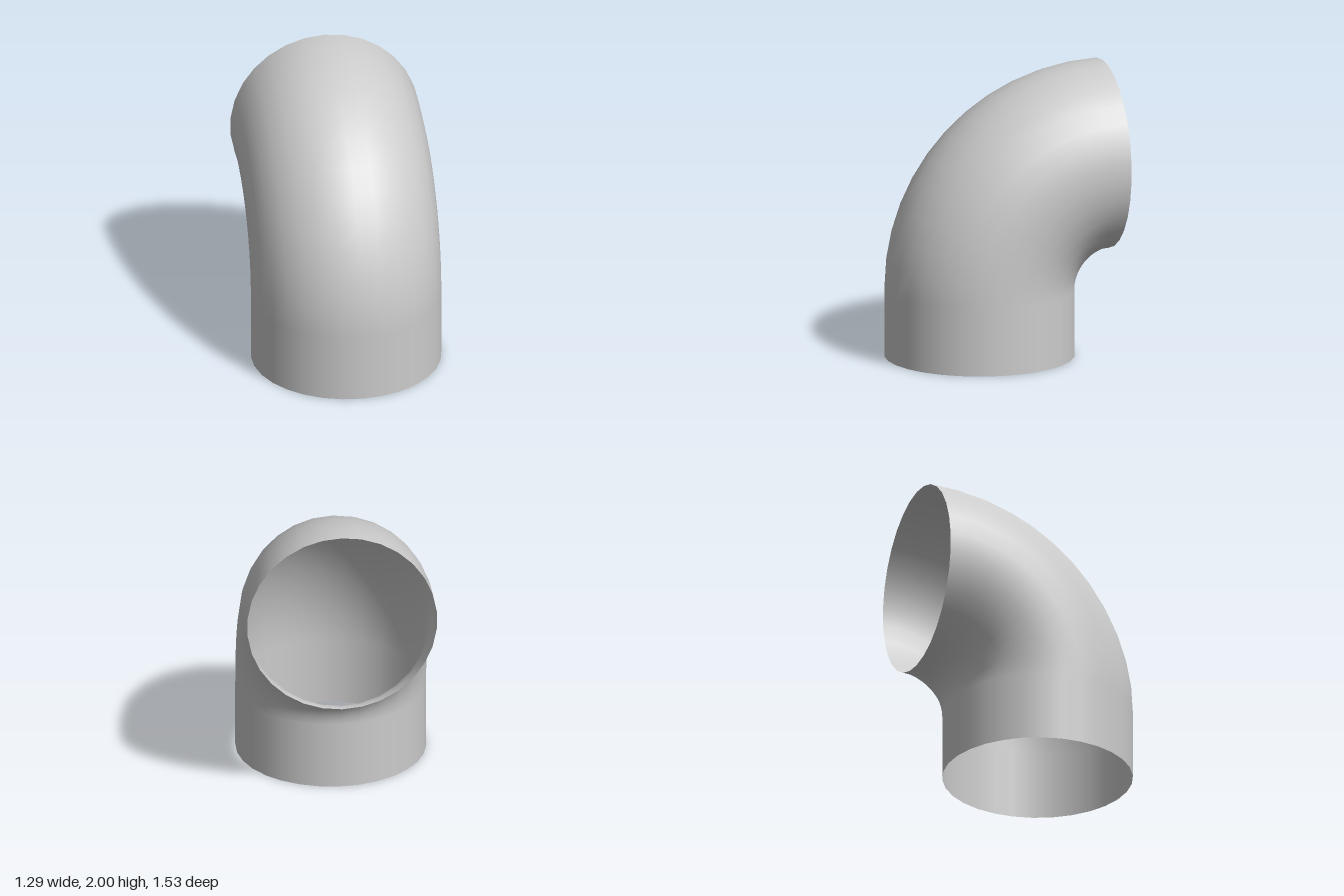
import * as THREE from 'three';

const TUBE = 0.65;   // pipe radius
const BEND = 0.88;   // bend radius to the pipe axis
const BEND_Y = 0.47; // bend centre, also the height of the straight collar
const BEND_Z = -0.765;
const SIDES = 30, STEPS = 12;

// One ring of the pipe: its height offset and its angle around the bend
function sections() {
  const list = [{ drop: BEND_Y, angle: 0 }]; // foot of the straight collar
  for (let i = 0; i <= STEPS; i++) list.push({ drop: 0, angle: (i / STEPS) * Math.PI / 2 });
  return list;
}

// Open pipe skinned over the rings, with radial smooth normals
function elbowGeometry() {
  const positions = [], normals = [], index = [];
  const rings = sections();
  rings.forEach(({ drop, angle }, i) => {
    const up = Math.sin(angle), out = Math.cos(angle);
    for (let j = 0; j < SIDES; j++) {
      const t = (j / SIDES) * Math.PI * 2;
      const c = Math.cos(t), s = Math.sin(t);
      const reach = BEND + TUBE * c;
      positions.push(TUBE * s, BEND_Y - drop + up * reach, BEND_Z + out * reach);
      normals.push(s, up * c, out * c);
      if (i < rings.length - 1) {
        const a = i * SIDES + j, b = i * SIDES + (j + 1) % SIDES;
        index.push(a, b, b + SIDES, a, b + SIDES, a + SIDES);
      }
    }
  });
  const geometry = new THREE.BufferGeometry();
  geometry.setAttribute('position', new THREE.Float32BufferAttribute(positions, 3));
  geometry.setAttribute('normal', new THREE.Float32BufferAttribute(normals, 3));
  geometry.setIndex(index);
  return geometry;
}

export function createModel() {
  const group = new THREE.Group();
  group.name = 'pipeElbow';
  const material = new THREE.MeshStandardMaterial({ color: 0xcccccc, side: THREE.DoubleSide });
  const pipe = new THREE.Mesh(elbowGeometry(), material);
  pipe.name = 'elbowPipe';
  group.add(pipe);
  return group;
}
